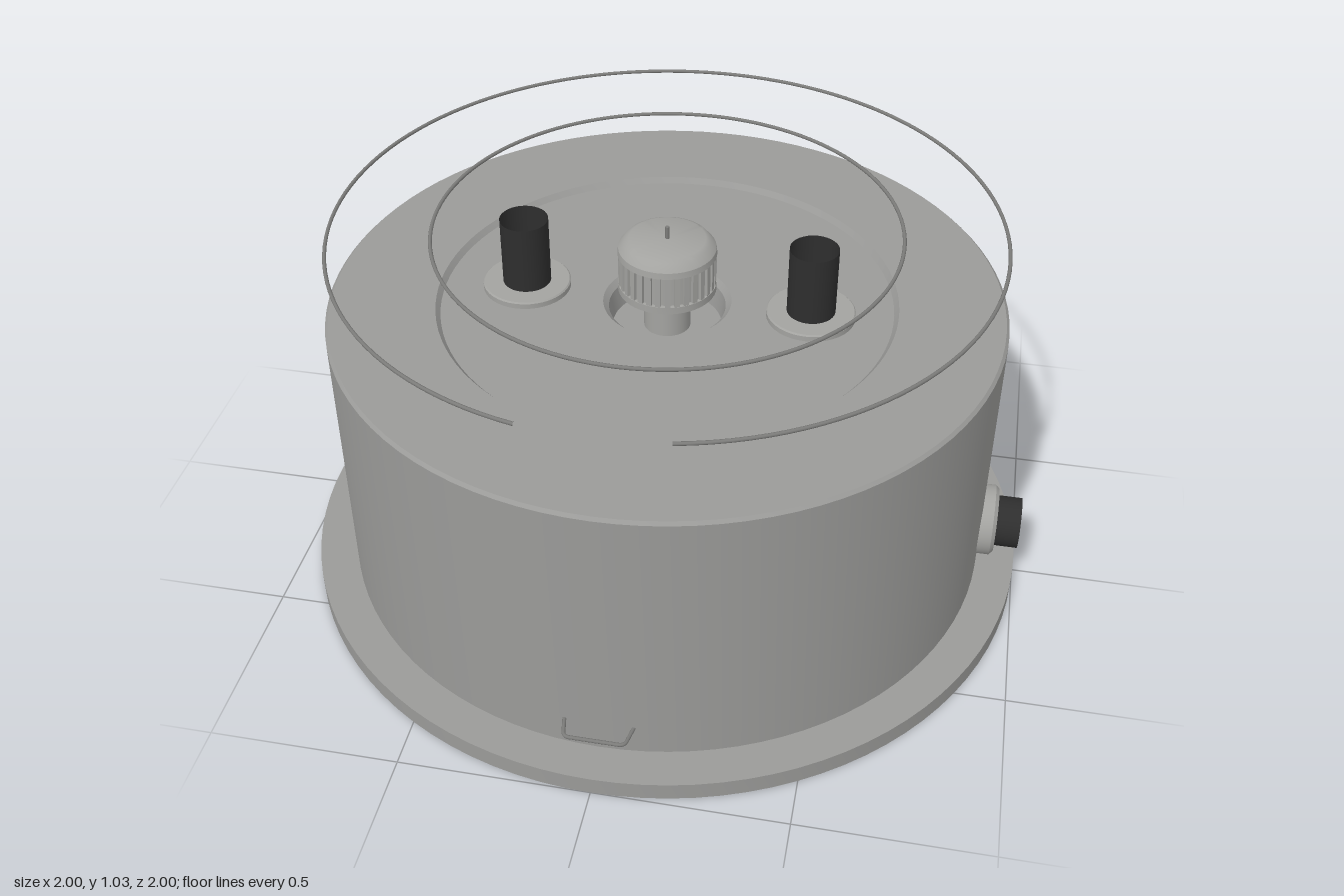
import * as THREE from 'three';
import { toCreasedNormals } from 'three/addons/utils/BufferGeometryUtils.js';

const mat = (name, color, side = THREE.FrontSide) => {
  const m = new THREE.MeshStandardMaterial({ color, side });
  m.name = name;
  return m;
};

export function createModel() {
  const model = new THREE.Group();
  model.name = 'roundTank';
  const grey = mat('bodyGrey', 0x9a9a98);
  const pale = mat('fittingGrey', 0xa3a3a0);
  const black = mat('tubeBlack', 0x2e2e2e, THREE.DoubleSide);
  const wire = mat('wireGrey', 0x7c7c7a);

  const add = (parent, name, geometry, material, x = 0, y = 0, z = 0) => {
    const mesh = new THREE.Mesh(geometry, material);
    mesh.name = name;
    mesh.position.set(x, y, z);
    parent.add(mesh);
    return mesh;
  };
  // Closed turned part from [radius, height] pairs, running bottom to top
  const turned = (points, segments) => toCreasedNormals(
    new THREE.LatheGeometry(points.map(([r, y]) => new THREE.Vector2(r, y)), segments), 0.5);

  // Base plate and drum, with a shallow recess in the lid and a central well
  add(model, 'basePlate', turned([[0, 0], [1, 0], [1, 0.05], [0.88, 0.05]], 96), grey);
  add(model, 'drum', turned([
    [0.895, 0.05], [0.895, 0.812], [0.887, 0.82], [0.61, 0.82], [0.598, 0.805],
    [0.17, 0.805], [0.155, 0.79], [0.145, 0.73], [0, 0.73],
  ], 96), grey);

  // Flanged open tube pointing along its local +y
  const port = (name, flangeR, flangeH, tubeR, tubeH) => {
    const group = new THREE.Group();
    group.name = name;
    const c = flangeH * 0.2;
    add(group, 'flange', turned([
      [0, 0], [flangeR, 0], [flangeR, flangeH - c], [flangeR - c, flangeH], [0, flangeH],
    ], 40), pale);
    add(group, 'openTube', new THREE.CylinderGeometry(tubeR, tubeR, tubeH, 32, 1, true),
      black, 0, flangeH + tubeH / 2, 0);
    add(group, 'centrePin', new THREE.CylinderGeometry(0.006, 0.006, 0.008, 8),
      wire, 0, flangeH + 0.004, 0);
    model.add(group);
    return group;
  };

  // Two upright tubes on the lid
  for (const side of [-1, 1]) {
    port(side > 0 ? 'leftTopPort' : 'rightTopPort', 0.117, 0.018, 0.064, 0.188)
      .position.set(side * 0.382, 0.805, 0);
  }
  // Two side ports, one on the left and one at the back
  const sidePort = port('leftSidePort', 0.098, 0.05, 0.07, 0.065);
  sidePort.position.set(0.885, 0.18, 0);
  sidePort.rotation.z = -Math.PI / 2;
  const backPort = port('backPort', 0.098, 0.05, 0.07, 0.065);
  backPort.position.set(0, 0.18, -0.885);
  backPort.rotation.x = -Math.PI / 2;

  // Ribbed central knob on a neck
  const knob = new THREE.Group();
  knob.name = 'knob';
  model.add(knob);
  add(knob, 'neck', new THREE.CylinderGeometry(0.062, 0.062, 0.13, 32), pale, 0, 0.79, 0);
  add(knob, 'cap', turned([
    [0, 0.848], [0.13, 0.848], [0.13, 0.868], [0.12, 0.868], [0.12, 0.955],
    [0.13, 0.955], [0.128, 0.972], [0.112, 0.992], [0.1, 0.998], [0, 0.998],
  ], 48), pale);
  const rib = new THREE.BoxGeometry(0.014, 0.087, 0.013);
  for (let i = 0; i < 32; i++) {
    const a = (i / 32) * Math.PI * 2;
    const mesh = add(knob, 'rib', rib, pale, Math.sin(a) * 0.122, 0.9115, Math.cos(a) * 0.122);
    mesh.rotation.y = a;
  }
  add(knob, 'pin', new THREE.CylinderGeometry(0.006, 0.006, 0.034, 8), wire, 0, 1.015, 0);

  // Wire hoops above the lid; the outer one is open at the front
  const hoop = (name, radius, gap) => {
    const geometry = new THREE.TorusGeometry(radius, 0.005, 8, 120, Math.PI * 2 - gap * 2);
    geometry.rotateZ(Math.PI / 2 + gap).rotateX(Math.PI / 2);
    add(model, name, geometry, wire, 0, 1.03, 0);
  };
  hoop('outerHoop', 0.87, 0.205);
  hoop('innerHoop', 0.606, 0);

  // Bent wire handle low on the front
  const v = (x, z) => new THREE.Vector3(x, 0.132, z);
  const path = new THREE.CurvePath();
  path.add(new THREE.LineCurve3(v(-0.09, 0.88), v(-0.08, 0.932)));
  path.add(new THREE.QuadraticBezierCurve3(v(-0.08, 0.932), v(-0.077, 0.947), v(-0.062, 0.947)));
  path.add(new THREE.LineCurve3(v(-0.062, 0.947), v(0.062, 0.947)));
  path.add(new THREE.QuadraticBezierCurve3(v(0.062, 0.947), v(0.077, 0.947), v(0.08, 0.932)));
  path.add(new THREE.LineCurve3(v(0.08, 0.932), v(0.09, 0.88)));
  add(model, 'frontHandle', new THREE.TubeGeometry(path, 60, 0.005, 8), wire);

  return model;
}
